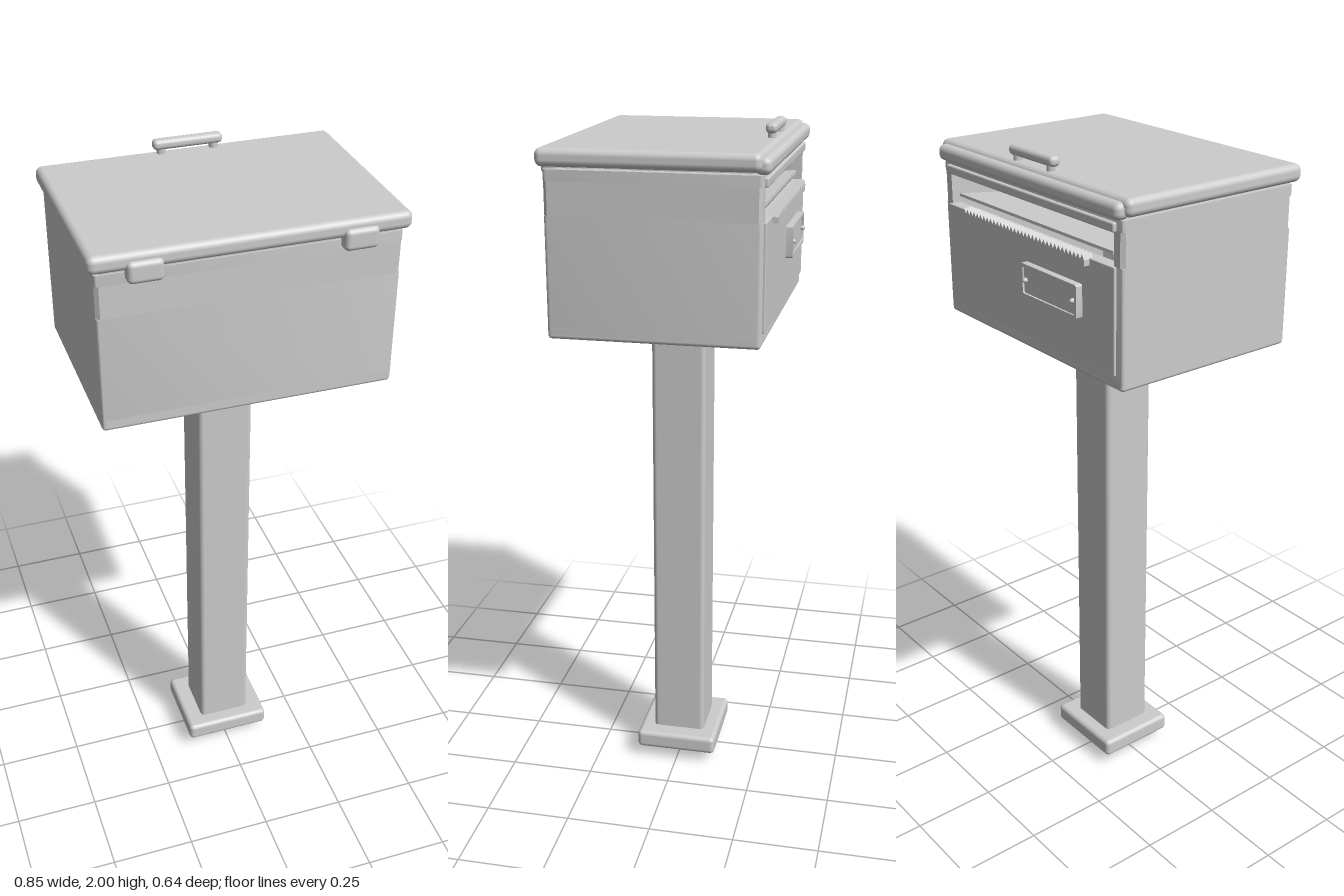
import * as THREE from 'three';
import { RoundedBoxGeometry } from 'three/addons/geometries/RoundedBoxGeometry.js';
import { toCreasedNormals } from 'three/addons/utils/BufferGeometryUtils.js';

export function createModel() {
  const model = new THREE.Group();
  const grey = new THREE.MeshStandardMaterial({ color: 0xcccccc });
  grey.name = 'lightGreyMetal';

  function add(name, geometry, parent = model) {
    const mesh = new THREE.Mesh(geometry, grey);
    mesh.name = name;
    parent.add(mesh);
    return mesh;
  }
  // Rounded block given by its min and max on each axis
  function block(name, [x0, x1], [y0, y1], [z0, z1], r, parent = model) {
    const mesh = add(name, new RoundedBoxGeometry(x1 - x0, y1 - y0, z1 - z0, 3, r), parent);
    mesh.position.set((x0 + x1) / 2, (y0 + y1) / 2, (z0 + z1) / 2);
    return mesh;
  }
  function roundedRect(path, w, h, r) {
    path.moveTo(-w + r, -h);
    path.lineTo(w - r, -h);
    path.quadraticCurveTo(w, -h, w, -h + r);
    path.lineTo(w, h - r);
    path.quadraticCurveTo(w, h, w - r, h);
    path.lineTo(-w + r, h);
    path.quadraticCurveTo(-w, h, -w, h - r);
    path.lineTo(-w, -h + r);
    path.quadraticCurveTo(-w, -h, -w + r, -h);
    return path;
  }
  function extrude(shape, depth) {
    return toCreasedNormals(
      new THREE.ExtrudeGeometry(shape, { depth, bevelEnabled: false, curveSegments: 4 }), 0.7);
  }

  // Post with foot plate and top bracket
  block('post', [-0.08, 0.08], [0.005, 1.43], [-0.08, 0.08], 0.014);
  block('footPlate', [-0.133, 0.133], [0.04, 0.096], [-0.124, 0.124], 0.014);
  block('topBracket', [-0.172, 0.172], [1.405, 1.47], [-0.124, 0.124], 0.008);

  // Hollow box: plan outlines extruded upward, open at the back for the slot
  const body = new THREE.Group();
  body.name = 'body';
  model.add(body);
  const W = 0.405, D = 0.287, T = 0.028;
  block('floor', [-W, W], [1.457, 1.5], [-D, D], 0.01, body);
  const ring = roundedRect(new THREE.Shape(), W, D, 0.01);
  ring.holes.push(roundedRect(new THREE.Path(), W - T, D - T, 0.004));
  const uShape = new THREE.Shape([
    [-W, D - 0.01], [-W + 0.01, D], [-0.37, D], [-0.37, D - T], [-W + T, D - T],
    [-W + T, -D + T], [W - T, -D + T], [W - T, D - T], [0.37, D - T], [0.37, D],
    [W - 0.01, D], [W, D - 0.01], [W, -D + 0.01], [W - 0.01, -D], [-W + 0.01, -D], [-W, -D + 0.01],
  ].map(([x, y]) => new THREE.Vector2(x, y)));
  for (const [name, shape, y0, y1] of [
    ['lowerWalls', ring, 1.47, 1.785],
    ['slotWalls', uShape, 1.785, 1.875],
    ['upperWalls', ring, 1.875, 1.905],
  ]) {
    const wall = add(name, extrude(shape, y1 - y0), body);
    wall.rotation.x = -Math.PI / 2; // plan +y becomes the back, -z
    wall.position.y = y0;
  }

  // Back panel, drip strip and letter tray
  block('backPanel', [-0.38, 0.38], [1.497, 1.785], [-0.294, -0.28], 0.003);
  block('dripStrip', [-0.38, 0.38], [1.872, 1.897], [-0.297, -0.28], 0.005);
  const tray = add('letterTray', new THREE.BoxGeometry(0.7, 0.008, 0.2));
  tray.position.set(0, 1.8, -0.175);
  tray.rotation.x = 0.12;

  // Serrated edge along the slot
  const teeth = new THREE.Shape();
  const count = 34, step = 0.56 / count;
  teeth.moveTo(-0.28, 0);
  for (let i = 0; i < count; i++) {
    teeth.lineTo(-0.28 + (i + 0.5) * step, 0.014);
    teeth.lineTo(-0.28 + (i + 1) * step, 0);
  }
  teeth.lineTo(0.28, -0.016);
  teeth.lineTo(-0.28, -0.016);
  const serration = add('serratedEdge',
    new THREE.ExtrudeGeometry(teeth, { depth: 0.03, bevelEnabled: false }));
  serration.position.set(0, 1.782, -0.311);

  // Name plate with raised frame and two screws
  const plate = new THREE.Group();
  plate.name = 'namePlate';
  plate.position.set(-0.125, 1.663, 0);
  model.add(plate);
  block('plateBase', [-0.122, 0.122], [-0.042, 0.042], [-0.308, -0.288], 0.006, plate);
  const frame = roundedRect(new THREE.Shape(), 0.124, 0.046, 0.006);
  frame.holes.push(roundedRect(new THREE.Path(), 0.115, 0.037, 0.004));
  add('plateFrame', extrude(frame, 0.026), plate).position.z = -0.314;
  for (const x of [-0.105, 0.105]) {
    const screw = add('screw', new THREE.SphereGeometry(0.007, 12, 8), plate);
    screw.position.set(x, 0, -0.311);
    screw.scale.z = 1.4;
  }

  // Lid with lip, handle and hinges
  block('lid', [-0.423, 0.423], [1.912, 1.96], [-0.285, 0.304], 0.018);
  block('lidLip', [-0.408, 0.408], [1.905, 1.95], [-0.307, -0.262], 0.018);
  block('handleBar', [-0.099, 0.099], [1.972, 2.0], [-0.275, -0.243], 0.012);
  for (const s of [-1, 1]) {
    const leg = add('handleLeg', new THREE.CylinderGeometry(0.012, 0.012, 0.03, 16));
    leg.position.set(s * 0.075, 1.967, -0.259);
    block('hinge', [s * 0.281 - 0.047, s * 0.281 + 0.047], [1.88, 1.939], [0.272, 0.317], 0.014);
  }
  // Rear ledge that seats the lid above the walls
  block('hingeRail', [-0.39, 0.39], [1.895, 1.92], [0.255, 0.283], 0.004);
  return model;
}
